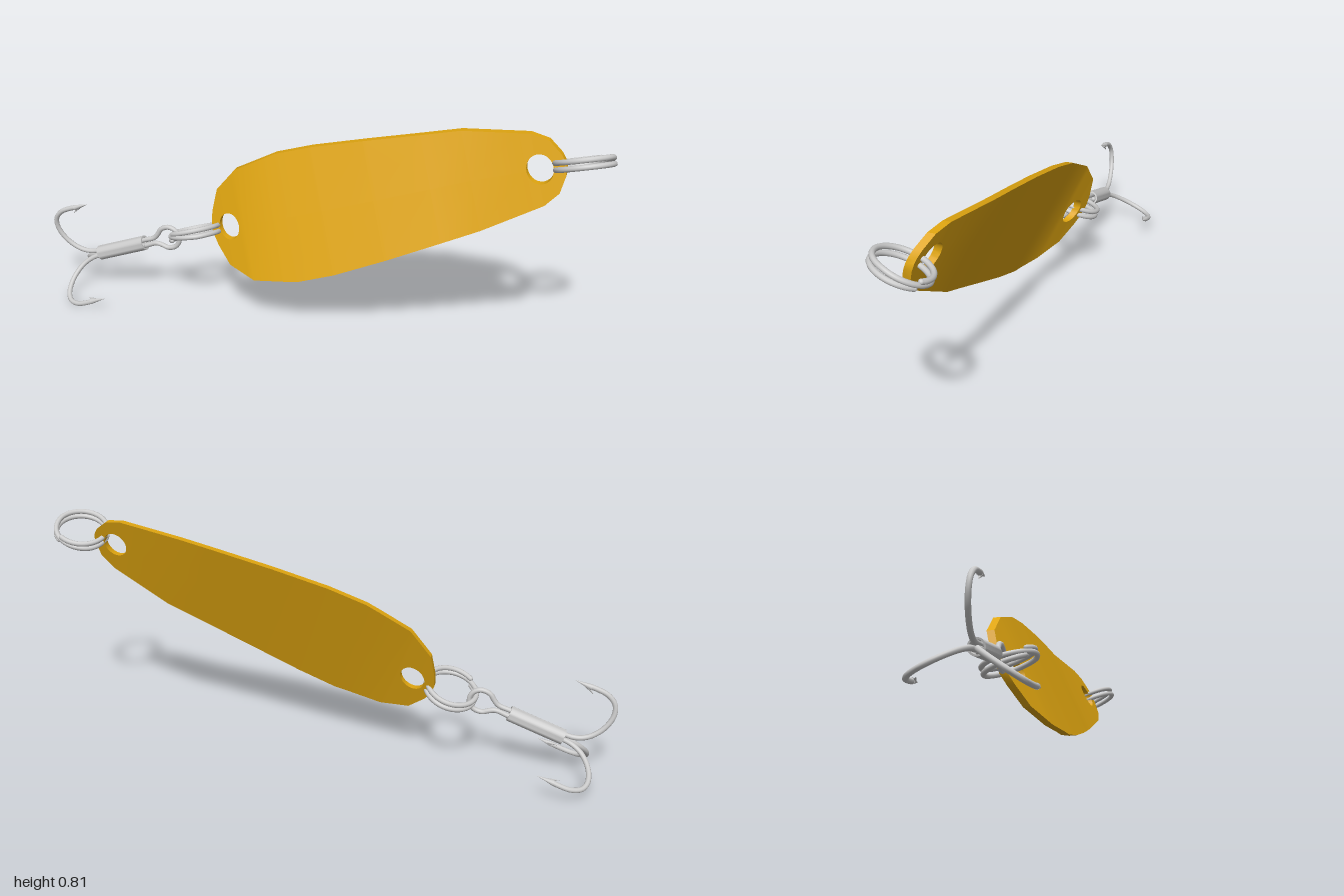
import * as THREE from 'three';
import { toCreasedNormals } from 'three/addons/utils/BufferGeometryUtils.js';

const gold = new THREE.MeshStandardMaterial({ color: 0xdfa510, side: THREE.DoubleSide });
const steel = new THREE.MeshStandardMaterial({ color: 0xcccccc, side: THREE.DoubleSide });
const WIRE = 0.009;

function mesh(name, geometry, material = steel) {
  const m = new THREE.Mesh(geometry, material);
  m.name = name;
  return m;
}

// Linear interpolation in a table of [position, value] pairs
function lookup(table, u) {
  let i = 1;
  while (i < table.length - 1 && u > table[i][0]) i++;
  const [a, b] = [table[i - 1], table[i]];
  return a[1] + (b[1] - a[1]) * (u - a[0]) / (b[0] - a[0]);
}

// Blade: half widths and bend along its length, with a round hole at each end
const halfWidth = [[-0.646, 0.02], [-0.633, 0.058], [-0.595, 0.127], [-0.5, 0.183], [-0.33, 0.208],
  [-0.19, 0.205], [0.01, 0.187], [0.337, 0.152], [0.56, 0.106], [0.615, 0.077], [0.645, 0.032], [0.652, 0.01]];
const bend = [[-0.66, -0.041], [-0.58, -0.018], [-0.5, 0.003], [-0.38, 0.013], [-0.2, 0.02],
  [0, 0.022], [0.2, 0.019], [0.337, 0.015], [0.56, 0.037], [0.66, 0.049]];
const HOLE = 0.568, HOLE_R = 0.044, TILT = -0.4, HALF_THICK = 0.013;

function bladeGeometry() {
  const stations = [...halfWidth.map(p => p[0]), ...bend.slice(1, -1).map(p => p[0])];
  for (const c of [-HOLE, HOLE])
    for (let k = 0; k <= 14; k++) stations.push(c + HOLE_R * Math.cos(k * Math.PI / 14));
  stations.sort((a, b) => a - b);

  const positions = [];
  const quad = (a, b, c, d) => positions.push(...a, ...b, ...c, ...a, ...c, ...d);
  for (const side of [1, -1]) {
    const face = (a, b, c, d) => side > 0 ? quad(a, b, c, d) : quad(d, c, b, a);
    const sections = stations.map(u => {
      const inner = Math.sqrt(Math.max(0, HOLE_R ** 2 - (Math.abs(u) - HOLE) ** 2));
      const at = (v, t) => [u, side * v, lookup(bend, u) + TILT * side * v + t];
      const w = lookup(halfWidth, u);
      return { inner, p: [at(inner, HALF_THICK), at(w, HALF_THICK), at(w, -HALF_THICK), at(inner, -HALF_THICK)] };
    });
    for (let i = 0; i < sections.length - 1; i++) {
      const s = sections[i], n = sections[i + 1];
      if (stations[i + 1] - stations[i] < 1e-6) continue;
      const holed = s.inner > 1e-4 || n.inner > 1e-4;
      for (let k = 0; k < (holed ? 4 : 3); k++) {
        const j = (k + 1) % 4;
        face(s.p[k], n.p[k], n.p[j], s.p[j]);
      }
    }
    const [a, b, c, d] = sections[0].p;
    face(a, b, c, d);
    face(...[...sections[sections.length - 1].p].reverse());
  }
  const g = new THREE.BufferGeometry();
  g.setAttribute('position', new THREE.Float32BufferAttribute(positions, 3));
  return toCreasedNormals(g, 0.4);
}

// Round wire through points, with rounded ends
function wire(name, points, segments, radius = WIRE) {
  const group = new THREE.Group();
  group.name = name;
  const curve = new THREE.CatmullRomCurve3(points);
  group.add(mesh(name + 'Wire', new THREE.TubeGeometry(curve, segments, radius, 10)));
  for (const end of [points[0], points[points.length - 1]]) {
    const cap = mesh(name + 'End', new THREE.SphereGeometry(radius, 10, 6));
    cap.position.copy(end);
    group.add(cap);
  }
  return group;
}

// Split ring: two flat coils joined by a short step
function splitRing(name, center, normal, startAngle) {
  const points = [];
  for (let i = 0; i <= 96; i++) {
    const angle = startAngle + i / 96 * Math.PI * 3.95;
    const rise = 0.011 * THREE.MathUtils.clamp((i / 96 - 0.5) * 10, -1, 1);
    points.push(new THREE.Vector3(0.088 * Math.cos(angle), rise, 0.088 * Math.sin(angle)));
  }
  const ring = wire(name, points, 160);
  ring.position.set(...center);
  ring.quaternion.setFromUnitVectors(new THREE.Vector3(0, 1, 0), new THREE.Vector3(...normal).normalize());
  return ring;
}

const path = pairs => pairs.map(([x, y]) => new THREE.Vector3(x, y, 0));

// One hook arm in its own plane: shank, bend, sharp point and barb
function hookArm() {
  const arm = wire('hookArm', path([[0.19, 0.01], [0.02, 0.01], [-0.035, 0.015], [-0.075, 0.037], [-0.108, 0.085],
    [-0.118, 0.14], [-0.104, 0.178], [-0.07, 0.199], [-0.03, 0.203], [-0.005, 0.202]]), 60);
  const point = mesh('hookPoint', new THREE.ConeGeometry(WIRE * 1.15, 0.06, 10));
  point.rotation.z = -Math.PI / 2;
  point.position.set(0.022, 0.2015, 0);
  const barb = mesh('hookBarb', new THREE.ConeGeometry(0.007, 0.04, 8));
  barb.rotation.z = Math.PI / 2 + 0.5;
  barb.position.set(-0.008, 0.19, 0);
  arm.add(point, barb);
  return arm;
}

// Treble hook: barrel along x, eye at its right end, three arms at its left
function trebleHook() {
  const hook = new THREE.Group();
  hook.name = 'trebleHook';
  const sleeve = [[0.021, 0], [0.027, 0], [0.027, 0.2], [0.021, 0.2], [0.021, 0]].map(p => new THREE.Vector2(...p));
  const barrel = mesh('barrel', toCreasedNormals(new THREE.LatheGeometry(sleeve, 24), 0.6));
  barrel.rotation.z = -Math.PI / 2;
  hook.add(barrel);

  const half = [[0.02, 0.011], [0.2, 0.011], [0.245, 0.011], [0.265, 0.022], [0.285, 0.037], [0.315, 0.039]];
  const mirrored = half.map(([x, y]) => [x, -y]).reverse();
  hook.add(wire('hookEye', path([...half, [0.337, 0.024], [0.345, 0], [0.337, -0.024], ...mirrored]), 80));

  for (let i = 0; i < 3; i++) {
    const arm = hookArm();
    arm.rotation.x = 0.13 + i * Math.PI * 2 / 3;
    hook.add(arm);
  }
  return hook;
}

export function createModel() {
  const model = new THREE.Group();
  model.name = 'spoonLure';

  const blade = mesh('blade', bladeGeometry(), gold);
  blade.position.set(0.23, 0.53, 0);
  blade.rotation.z = 0.341;
  model.add(blade);

  model.add(splitRing('lineRing', [0.898, 0.757, 0.05], [-0.25, 1, -0.36], -0.9));
  model.add(splitRing('hookRing', [-0.436, 0.3, 0.005], [-0.32, 1, -0.3], 2.4));

  const hook = trebleHook();
  hook.position.set(-0.825, 0.158, 0.005);
  hook.rotation.z = 0.357;
  model.add(hook);
  return model;
}
